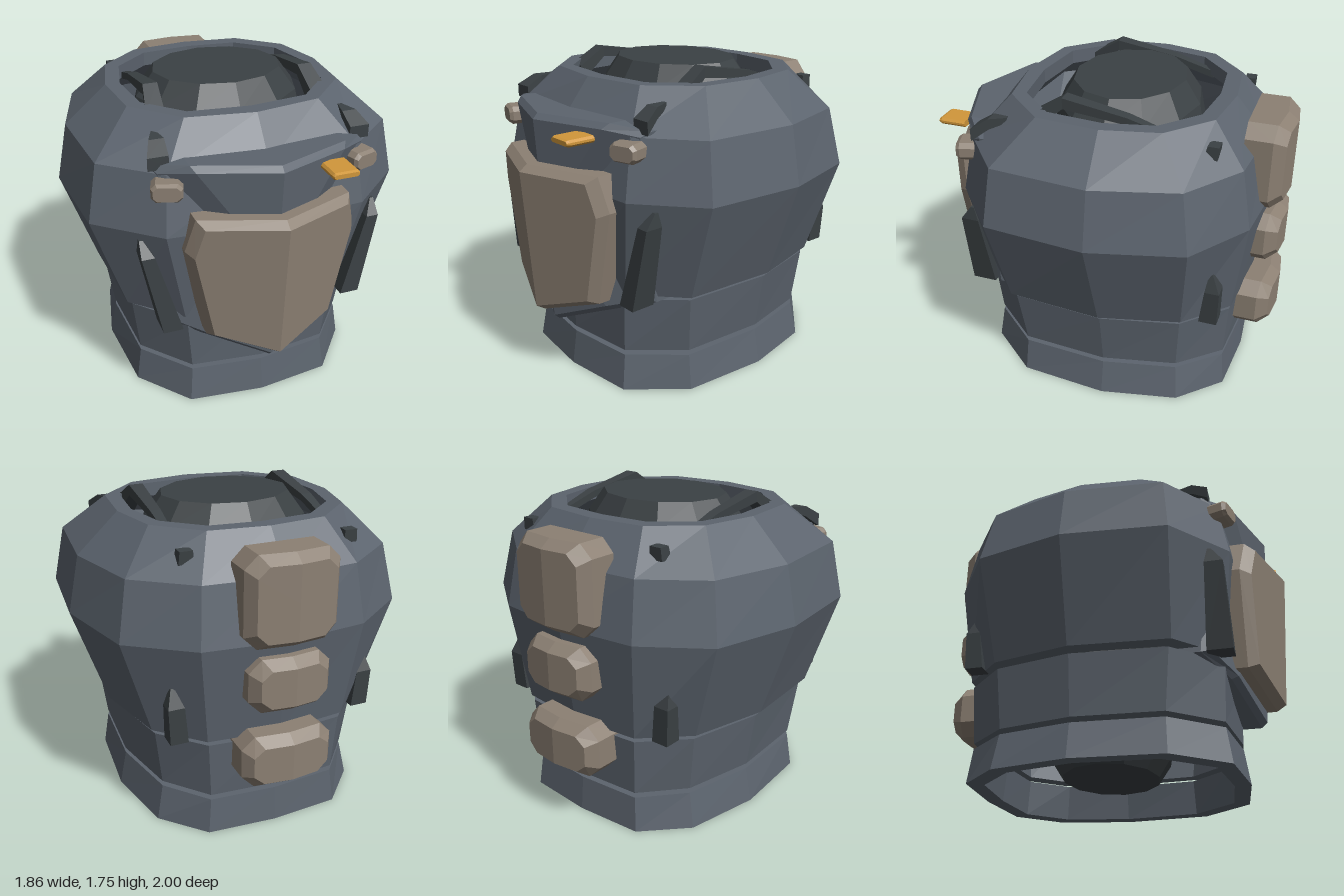
import * as THREE from 'three';

const mat = (name, color) => {
  const m = new THREE.MeshStandardMaterial({ color });
  m.name = name;
  return m;
};

// Joins rings of points with flat faces; either closes into a loop or caps both ends.
function loft(rings, { closed = false, endCentre = null } = {}) {
  const pos = [];
  const tri = (a, b, c) => pos.push(...a, ...b, ...c);
  const n = rings[0].length;
  const last = closed ? rings.length : rings.length - 1;
  for (let j = 0; j < last; j++) {
    const lo = rings[j], hi = rings[(j + 1) % rings.length];
    for (let i = 0; i < n; i++) {
      const k = (i + 1) % n;
      tri(lo[i], lo[k], hi[k]);
      tri(lo[i], hi[k], hi[i]);
    }
  }
  if (!closed) {
    const centre = (r) => [0, 1, 2].map((a) => r.reduce((s, p) => s + p[a], 0) / n);
    const first = rings[0], end = rings[rings.length - 1];
    const c0 = centre(first), c1 = endCentre || centre(end);
    for (let i = 0; i < n; i++) {
      const k = (i + 1) % n;
      tri(c0, first[k], first[i]);
      tri(c1, end[i], end[k]);
    }
  }
  const g = new THREE.BufferGeometry();
  g.setAttribute('position', new THREE.Float32BufferAttribute(pos, 3));
  g.computeVertexNormals();
  return g;
}

// Twelve-point body ring from its front-to-back half; s shrinks it for the inner wall.
function bodyRing(y, half, s = 1) {
  const pts = half.map(([x, z]) => [x * s, y, (z + 0.05) * s - 0.05]);
  const other = pts.slice(1, -1).reverse().map(([x, yy, z]) => [-x, yy, z]);
  return [...pts, ...other];
}

// Bevelled plate facing +z; the right half outline runs from bottom centre to top centre.
function plate(half, front, back, bevel, inset) {
  const left = half.filter((p) => p[0] > 0).reverse().map(([x, y]) => [-x, y]);
  const o = [...half, ...left];
  const ys = half.map((p) => p[1]);
  const cy = (Math.min(...ys) + Math.max(...ys)) / 2;
  const h = Math.max(...ys) - cy;
  const w = Math.max(...half.map((p) => p[0]));
  const small = o.map(([x, y]) => [x * (1 - inset / w), cy + (y - cy) * (1 - inset / h)]);
  return loft([
    o.map(([x, y]) => [x, y, back(x, y)]),
    o.map(([x, y]) => [x, y, front(Math.abs(x), y) - bevel]),
    small.map(([x, y]) => [x, y, front(Math.abs(x), y)]),
  ], { endCentre: [0, cy, front(0, cy)] });
}

// Cut-cornered half outline for small plates.
const octagon = (w, h, c) => [[0, -h], [w - c, -h], [w, -h + c], [w, h - c], [w - c, h], [0, h]];

// Tapered bar through sections [x, y, z, halfWidth, halfDepth].
const uprightBar = (sections) => loft(sections.map(([x, y, z, w, d]) =>
  [[x - w, y, z + d], [x + w, y, z + d], [x + w, y, z - d], [x - w, y, z - d]]));
const lengthBar = (sections) => loft(sections.map(([x, y, z, w, h]) =>
  [[x - w, y - h, z], [x + w, y - h, z], [x + w, y + h, z], [x - w, y + h, z]]));

export function createModel() {
  const model = new THREE.Group();
  model.name = 'chestArmour';
  const armour = mat('slateArmour', 0x5c646e);
  const dark = mat('darkMetal', 0x3b4144);
  const tan = mat('tanPlate', 0x8c8073);
  const amber = mat('amber', 0xd1973b);
  const add = (name, geometry, material) => {
    const m = new THREE.Mesh(geometry, material);
    m.name = name;
    model.add(m);
    return m;
  };

  // Upper shell: outer wall up to the collar, then back down inside
  const hem = [[0, 0.71], [0.44, 0.66], [0.7, 0.42], [0.74, -0.12], [0.63, -0.56], [0.4, -0.79], [0, -0.83]];
  const bust = [[0, 0.77], [0.55, 0.73], [0.88, 0.45], [0.93, -0.12], [0.8, -0.62], [0.46, -0.86], [0, -0.91]];
  const shoulder = [[0, 0.72], [0.52, 0.67], [0.82, 0.42], [0.865, -0.12], [0.74, -0.57], [0.43, -0.8], [0, -0.84]];
  const collar = [[0, 0.55], [0.37, 0.49], [0.6, 0.25], [0.63, -0.1], [0.56, -0.41], [0.33, -0.62], [0, -0.66]];
  const neck = [[0, 0.46], [0.33, 0.42], [0.52, 0.22], [0.55, -0.09], [0.49, -0.36], [0.29, -0.54], [0, -0.57]];
  add('upperShell', loft([
    bodyRing(0.59, hem), bodyRing(1.15, bust), bodyRing(1.47, shoulder), bodyRing(1.68, collar),
    bodyRing(1.68, neck), bodyRing(1.6, neck), bodyRing(1.43, shoulder, 0.88),
    bodyRing(1.15, bust, 0.89), bodyRing(0.59, hem, 0.88),
  ], { closed: true }), armour);

  // Two waist bands
  const waistTop = [[0, 0.7], [0.43, 0.66], [0.67, 0.4], [0.71, -0.12], [0.61, -0.55], [0.39, -0.78], [0, -0.82]];
  const waist = [[0, 0.69], [0.4, 0.64], [0.63, 0.37], [0.66, -0.12], [0.57, -0.53], [0.37, -0.76], [0, -0.79]];
  const base = [[0, 0.72], [0.42, 0.67], [0.66, 0.38], [0.7, -0.12], [0.61, -0.55], [0.39, -0.78], [0, -0.81]];
  const band = (name, y0, r0, y1, r1) => add(name, loft([
    bodyRing(y0, r0), bodyRing(y1, r1), bodyRing(y1, r1, 0.88), bodyRing(y0, r0, 0.88),
  ], { closed: true }), armour);
  band('upperWaistBand', 0.23, waist, 0.56, waistTop);
  band('lowerWaistBand', 0, base, 0.2, waist);

  // Inner core
  const oval = (y, r) => Array.from({ length: 12 }, (_, i) => {
    const a = i * Math.PI / 6;
    return [r * Math.sin(a), y, 0.84 * r * Math.cos(a) - 0.065];
  });
  add('innerCore', loft([[0.08, 0.33], [0.2, 0.42], [0.6, 0.5], [0.95, 0.53], [1.35, 0.53],
    [1.6, 0.47], [1.73, 0.37]].map(([y, r]) => oval(y, r))), dark);

  // Raised breastplate with a pointed lower edge
  const breastZ = (x, y) => 0.9 - 0.36 * x - Math.max(0, x - 0.42) * 0.4 - (1.49 - y) * 0.06;
  add('breastplate', plate(
    [[0, 0.32], [0.36, 0.48], [0.57, 0.56], [0.55, 1.15], [0.59, 1.5], [0.42, 1.53], [0, 1.53]],
    breastZ, (x, y) => breastZ(Math.abs(x), y) - (y < 0.5 ? 0.13 : 0.24), 0.03, 0.03), armour);

  // Tan shield plate over the breastplate
  const shieldZ = (x, y) => 1.0 - 0.36 * x - (1.25 - y) * 0.07;
  add('shieldPlate', plate(
    [[0, 0.41], [0.36, 0.54], [0.47, 1.08], [0.42, 1.27], [0, 1.27]],
    shieldZ, (x, y) => shieldZ(Math.abs(x), y) - 0.17, 0.05, 0.035), tan);

  // Three plates down the spine
  [['upperSpinePlate', 1.385, 0.26, 0.245, 0.24], ['middleSpinePlate', 0.93, 0.23, 0.15, 0.16],
    ['lowerSpinePlate', 0.49, 0.26, 0.15, 0.24]].forEach(([name, y, w, h, depth]) => {
    const z = (x) => -0.12 * x;
    const m = add(name, plate(octagon(w, h, 0.07), z, () => -depth, 0.06, 0.045), tan);
    m.position.set(0, y, -1);
    m.rotation.y = Math.PI;
  });

  // Amber tab on the breastplate
  const tab = add('amberTab', plate(octagon(0.075, 0.018, 0.012), () => 0.08, () => -0.08, 0.015, 0.006), amber);
  tab.position.set(0.315, 1.455, 0.87);

  for (const [side, s] of [['left', 1], ['right', -1]]) {
    // Tan clasps
    const clasp = add(side + 'Clasp', plate(octagon(0.08, 0.05, 0.025), () => 0.05, () => -0.08, 0.02, 0.012), tan);
    clasp.position.set(s * 0.53, 1.405, 0.7);
    clasp.rotation.y = s * 0.3;

    // Pointed ribs at front and back
    add(side + 'FrontRib', uprightBar([[s * 0.525, 0.56, 0.65, 0.055, 0.07],
      [s * 0.64, 1.03, 0.65, 0.035, 0.05], [s * 0.66, 1.11, 0.63, 0.01, 0.01]]), dark);
    add(side + 'BackRib', uprightBar([[s * 0.54, 0.59, -0.7, 0.05, 0.05],
      [s * 0.555, 0.8, -0.715, 0.045, 0.04], [s * 0.56, 0.9, -0.7, 0.01, 0.01]]), dark);

    // Strap arched over the neck opening
    add(side + 'NeckStrap', lengthBar([[s * 0.45, 1.6, -0.43, 0.02, 0.02], [s * 0.45, 1.67, -0.2, 0.03, 0.02],
      [s * 0.445, 1.72, 0.15, 0.04, 0.03], [s * 0.465, 1.6, 0.31, 0.05, 0.05]]), dark);

    // Shoulder hooks at front and back
    add(side + 'ShoulderHook', lengthBar([[s * 0.52, 1.6, 0.45, 0.012, 0.015],
      [s * 0.53, 1.58, 0.54, 0.04, 0.03], [s * 0.55, 1.52, 0.63, 0.055, 0.035]]), dark);
    add(side + 'BackStud', uprightBar([[s * 0.46, 1.54, -0.64, 0.04, 0.035],
      [s * 0.46, 1.61, -0.65, 0.035, 0.03]]), dark);
  }
  return model;
}
